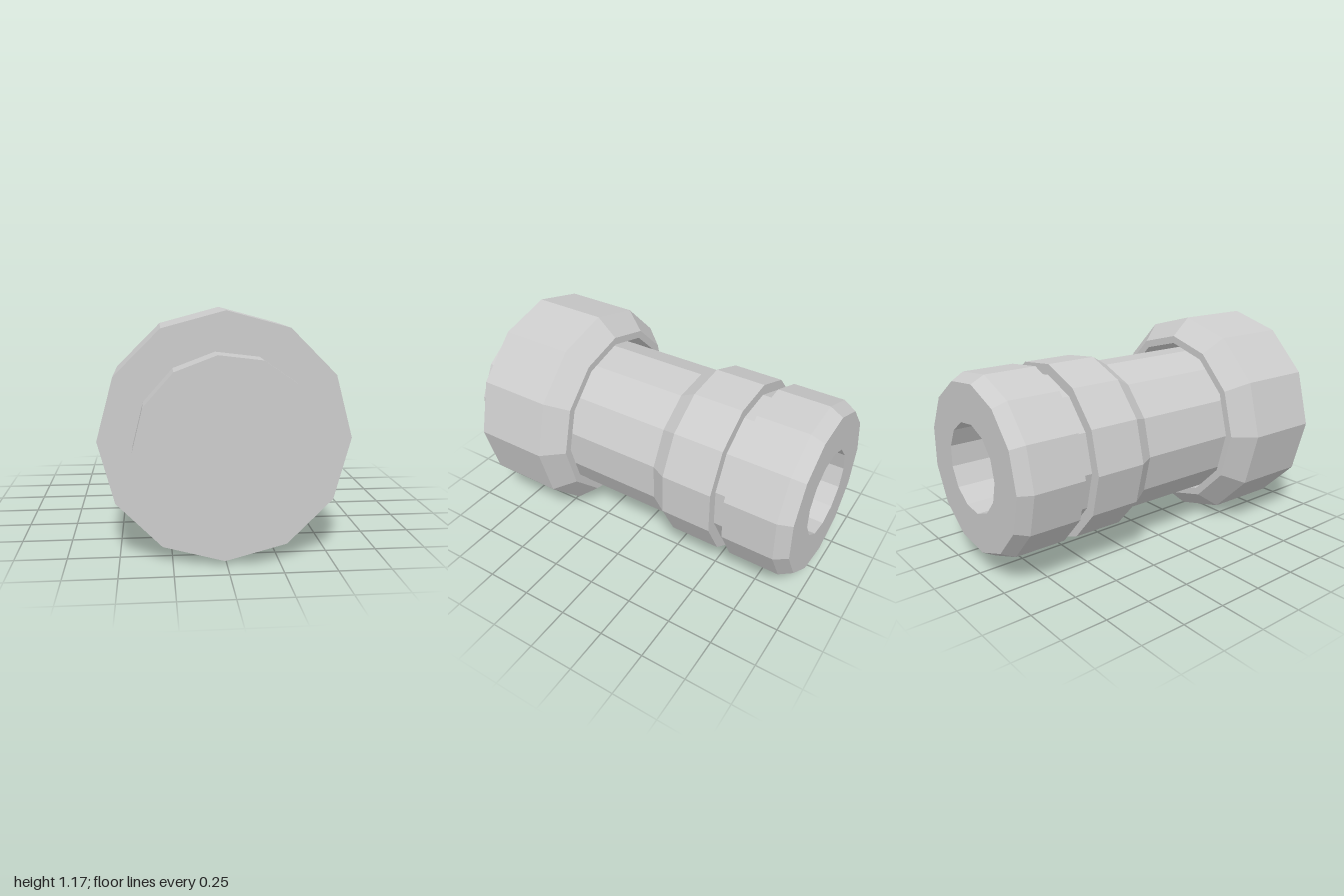
import * as THREE from 'three';

const material = new THREE.MeshStandardMaterial({ color: 0xcccccc, flatShading: true });

// Faceted turned part along z; profile is [radius, z], rising in z on its outside.
function turned(name, profile, sides, phase) {
  const points = profile.map(([r, z]) => new THREE.Vector2(r, z));
  const geometry = new THREE.LatheGeometry(points, sides, phase).rotateX(Math.PI / 2);
  const mesh = new THREE.Mesh(geometry, material);
  mesh.name = name;
  return mesh;
}

export function createModel() {
  const model = new THREE.Group();
  model.name = 'connector';

  // Barrel with grooved rear head, rear bore and solid front end
  const barrel = turned('barrel', [
    [0, -0.1], [0.235, -0.1], [0.235, -0.995],   // bore
    [0.442, -0.995], [0.48, -0.925],             // rear chamfer
    [0.48, -0.645], [0.424, -0.645],             // groove
    [0.424, -0.57], [0.48, -0.57],
    [0.48, -0.295], [0.424, -0.205],             // taper to the shank
    [0.424, 0.995], [0, 0.995],
  ], 13, -Math.PI / 2);
  barrel.position.set(0.006, 0.57, 0);

  // Loose coupling collar, open at the back
  const collar = turned('collar', [
    [0.449, 0.32], [0.49, 0.32], [0.587, 0.43],
    [0.587, 0.842], [0.3, 0.842],
    [0.3, 0.8], [0.449, 0.8], [0.449, 0.32],
  ], 12, 0);
  collar.position.set(0.005, 0.587, 0);

  model.add(barrel, collar);
  model.rotation.y = -0.011; // slight yaw of the whole part
  return model;
}
